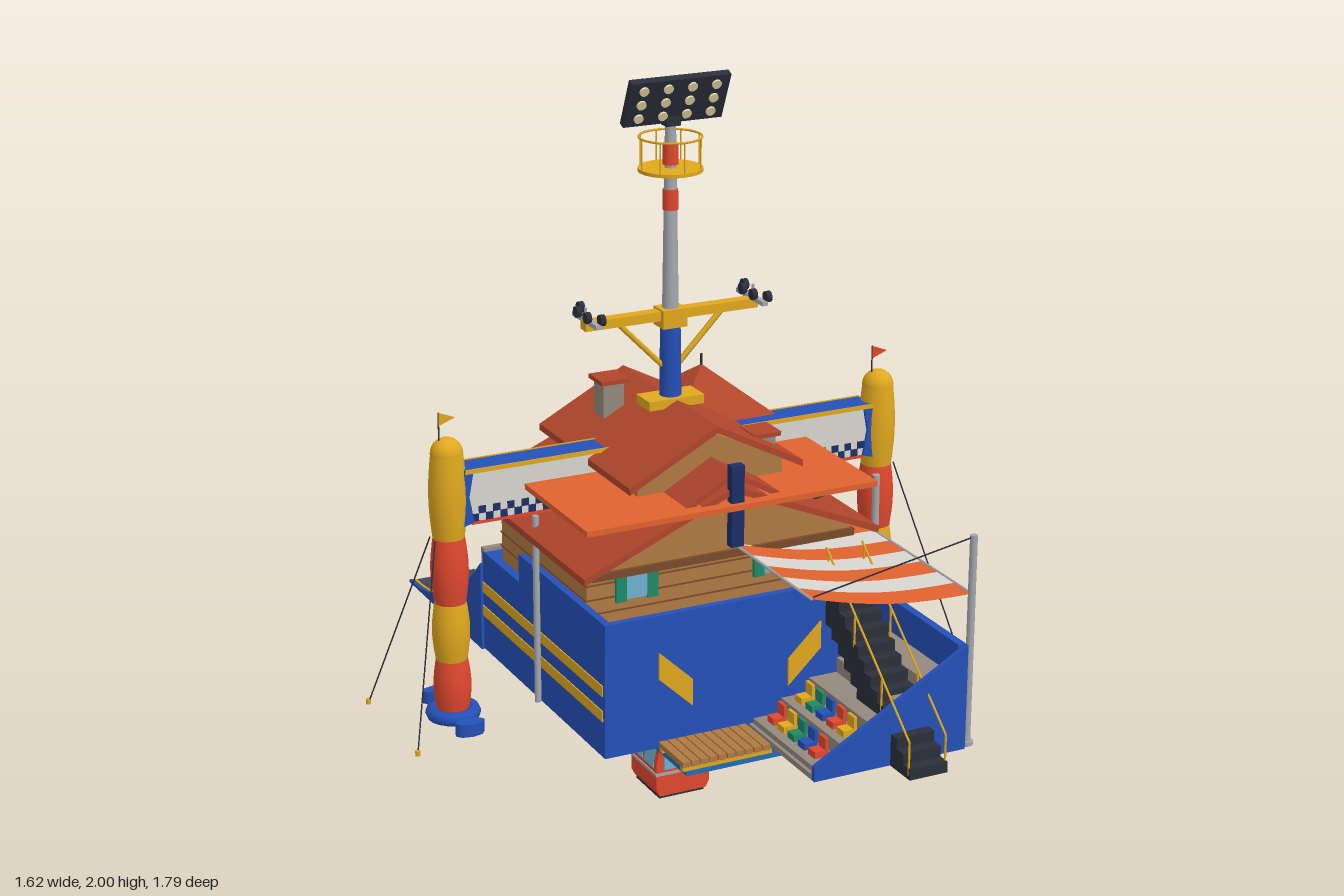
import * as THREE from 'three';

const C = { blue: 0x2450b8, sky: 0x1f6cb8, yellow: 0xe0a81e, red: 0xe0482e, roof: 0xb0462c, orange: 0xe0622e, white: 0xd8d6d0,
  tan: 0xb07a42, wood: 0x7a4a2a, taupe: 0x93897d, dark: 0x2b2f3a, ramp: 0x41465a, grey: 0xa4a8ae, green: 0x1f8a68, glass: 0x6fb0d0, navy: 0x1c2f66, cream: 0xe8d9a8 };
const mats = {};
const mat = (c, double) => mats[c + (double ? 'd' : '')] ??= new THREE.MeshStandardMaterial({ color: C[c], side: double ? THREE.DoubleSide : THREE.FrontSide });
const V = (a) => new THREE.Vector3(...a);

function add(parent, name, geo, c, pos = [0, 0, 0], double = false) {
  const m = new THREE.Mesh(geo, mat(c, double));
  m.name = name;
  m.position.set(...pos);
  parent.add(m);
  return m;
}
// Box from its extents
const box = (p, name, c, x0, x1, y0, y1, z0, z1) =>
  add(p, name, new THREE.BoxGeometry(x1 - x0, y1 - y0, z1 - z0), c, [(x0 + x1) / 2, (y0 + y1) / 2, (z0 + z1) / 2]);
const cyl = (p, name, c, r0, r1, h, pos, n = 16) => add(p, name, new THREE.CylinderGeometry(r1, r0, h, n), c, pos);
// Round bar between two points
function rod(p, name, c, a, b, r = 0.003, n = 6) {
  const A = V(a), B = V(b), d = B.clone().sub(A);
  const m = cyl(p, name, c, r, r, d.length(), A.clone().add(B).multiplyScalar(0.5).toArray(), n);
  m.quaternion.setFromUnitVectors(V([0, 1, 0]), d.normalize());
  return m;
}
const extrude = (pts, depth) => new THREE.ExtrudeGeometry(new THREE.Shape(pts.map((q) => new THREE.Vector2(...q))), { depth, bevelEnabled: false });
// Outline in (x, y) pushed along z; outline in (z, y) pushed along x
const prismZ = (p, name, c, pts, z0, z1) => add(p, name, extrude(pts, z1 - z0), c, [0, 0, z0]);
const prismX = (p, name, c, pts, x0, x1) => add(p, name, extrude(pts.map(([z, y]) => [-z, y]), x1 - x0).rotateY(Math.PI / 2), c, [x0, 0, 0]);
const gable = (p, name, w, eave, ridge, z0, z1, t = 0.018) =>
  prismZ(p, name, 'roof', [[-w, eave], [0, ridge], [w, eave], [w, eave - t], [0, ridge - t], [-w, eave - t]], z0, z1);
function part(root, name) {
  const g = new THREE.Group();
  g.name = name;
  root.add(g);
  return g;
}

function pillar(root, s) {
  const g = part(root, s > 0 ? 'leftPillar' : 'rightPillar');
  g.position.set(s * 0.635, 0, 0.03);
  [[0.35, 0.5, 'red'], [0.5, 0.66, 'yellow'], [0.66, 0.84, 'red'], [0.84, 1.07, 'yellow']].forEach(([a, b, c]) => {
    const pts = [];
    for (let i = 0; i <= 8; i++) pts.push(new THREE.Vector2(0.042 + 0.008 * Math.sin((Math.PI * i) / 8), a + ((b - a) * i) / 8));
    add(g, 'pillarBand', new THREE.LatheGeometry(pts, 20), c);
  });
  add(g, 'pillarDome', new THREE.SphereGeometry(0.043, 20, 8, 0, 6.2832, 0, Math.PI / 2), 'yellow', [0, 1.068, 0]);
  add(g, 'footRing', new THREE.TorusGeometry(0.055, 0.019, 8, 20).rotateX(Math.PI / 2), 'blue', [0, 0.347, 0]);
  for (const z of [-0.115, 0.115]) {
    const f = cyl(g, 'footPad', 'blue', 0.03, 0.03, 0.035, [0, 0.347, z], 8);
    f.scale.set(1.35, 1, 0.75);
    const zz = z > 0 ? 0.175 : -0.18;
    rod(g, 'guyWire', 'dark', [s * 0.045, 0.84, zz * 0.1], [s * 0.17, 0.33, zz], 0.002);
    cyl(g, 'anchor', 'yellow', 0.007, 0.007, 0.014, [s * 0.17, 0.335, zz], 8);
  }
  rod(g, 'flagPole', 'dark', [-0.02, 1.1, 0], [-0.02, 1.18, 0], 0.002);
  prismZ(g, 'flag', s > 0 ? 'red' : 'yellow', [[-0.02, 1.18], [0.025, 1.162], [-0.02, 1.145]], -0.002, 0.002);
}

function beam(root) {
  const g = part(root, 'bannerBeam');
  box(g, 'banner', 'white', -0.6, 0.6, 0.88, 1.015, 0, 0.055);
  box(g, 'topCap', 'blue', -0.6, 0.6, 1.015, 1.025, -0.012, 0.067);
  box(g, 'bottomTrim', 'red', -0.58, 0.58, 0.872, 0.88, -0.003, 0.058);
  for (const z of [-0.014, 0.067]) box(g, 'topTrim', 'yellow', -0.6, 0.6, 1.016, 1.028, z, z + 0.003);
  for (let i = 0; i < 60; i++) for (let j = 0; j < 2; j++)
    if ((i + j) % 2) box(g, 'check', 'navy', -0.6 + i * 0.02, -0.58 + i * 0.02, 0.88 + j * 0.02, 0.9 + j * 0.02, -0.002, 0.057);
  for (const s of [-1, 1]) prismZ(g, 'bracket', 'blue', [[0.61, 0.87], [0.575, 0.88], [0.588, 0.95], [0.575, 1.02], [0.61, 1.02]].map(([x, y]) => [s * x, y]), -0.008, 0.063);
}

function tower(root) {
  const g = part(root, 'tower');
  g.position.z = 0.035;
  cyl(g, 'lowerMast', 'blue', 0.032, 0.027, 0.45, [0, 1.11, 0]);
  box(g, 'mastCollar', 'yellow', -0.08, 0.08, 1.11, 1.135, -0.04, 0.04);
  box(g, 'mastHead', 'yellow', -0.035, 0.035, 1.325, 1.375, -0.03, 0.03);
  box(g, 'crossArm', 'yellow', -0.25, 0.25, 1.345, 1.37, -0.017, 0.017);
  for (const s of [-1, 1]) {
    rod(g, 'armBrace', 'yellow', [s * 0.15, 1.348, 0], [s * 0.025, 1.22, 0], 0.008);
    box(g, 'sheaveBar', 'grey', s * 0.24 - 0.008, s * 0.24 + 0.008, 1.365, 1.377, -0.075, 0.075);
    for (const z of [-0.065, -0.03, 0.03, 0.065])
      add(g, 'sheave', new THREE.CylinderGeometry(0.015, 0.015, 0.014, 14).rotateZ(Math.PI / 2), 'dark', [s * 0.24 + (Math.abs(z) > 0.05 ? 0.012 : -0.012), 1.387, z]);
    rod(g, 'armTip', 'grey', [s * 0.243, 1.34, 0], [s * 0.243, 1.405, 0], 0.004);
  }
  cyl(g, 'upperMast', 'grey', 0.022, 0.014, 0.52, [0, 1.62, 0]);
  for (const y of [1.665, 1.785]) cyl(g, 'mastBand', 'red', 0.0205, 0.02, 0.055, [0, y, 0]);
  cyl(g, 'platform', 'yellow', 0.085, 0.085, 0.009, [0, 1.745, 0], 24);
  add(g, 'railing', new THREE.TorusGeometry(0.082, 0.003, 6, 24).rotateX(Math.PI / 2), 'yellow', [0, 1.83, 0]);
  for (let i = 0; i < 8; i++) {
    const a = (i * Math.PI) / 4, x = 0.082 * Math.cos(a), z = 0.082 * Math.sin(a);
    rod(g, 'railPost', 'yellow', [x, 1.745, z], [x, 1.83, z], 0.002);
  }
  const p = part(g, 'floodlight');
  p.position.set(0, 1.934, 0.03);
  p.rotation.x = 0.42;
  box(p, 'lightPanel', 'dark', -0.14, 0.14, -0.067, 0.067, -0.01, 0.01);
  for (let i = 0; i < 4; i++) for (let j = 0; j < 3; j++)
    add(p, 'lamp', new THREE.CylinderGeometry(0.013, 0.013, 0.008, 12).rotateX(Math.PI / 2), 'cream', [-0.102 + i * 0.068, -0.042 + j * 0.042, 0.012]);
  box(g, 'lightBracket', 'dark', -0.02, 0.02, 1.86, 1.93, -0.015, 0.02);
}

function chalet(root) {
  const g = part(root, 'chalet');
  // Blue base with terrace
  box(g, 'base', 'blue', -0.385, 0.385, 0.33, 0.62, -0.35, 0.44);
  box(g, 'parapetFront', 'blue', -0.385, 0.25, 0.62, 0.7, 0.425, 0.445);
  box(g, 'parapetCorner', 'blue', 0.365, 0.385, 0.62, 0.7, 0.03, 0.445);
  box(g, 'parapetSide', 'blue', -0.385, -0.365, 0.62, 0.7, -0.1, 0.445);
  box(g, 'backBand', 'taupe', -0.385, 0.36, 0.54, 0.63, -0.36, -0.34);
  for (const y of [0.43, 0.5]) box(g, 'sideStripe', 'yellow', -0.388, -0.384, y, y + 0.03, -0.35, 0.43);
  for (const s of [-1, 1]) prismZ(g, 'frontPanel', 'yellow', [[0.235, 0.6], [0.14, 0.51], [0.14, 0.435], [0.235, 0.525]].map(([x, y]) => [s * x, y]), 0.444, 0.45);
  // Wooden walls
  box(g, 'lowerWall', 'tan', -0.36, 0.36, 0.62, 0.8, -0.27, 0.28);
  prismZ(g, 'gableWall', 'tan', [[-0.37, 0.79], [0.37, 0.79], [0.37, 0.815], [0, 0.97], [-0.37, 0.815]], -0.3, 0.35);
  for (const z of [-0.305, 0.345]) box(g, 'tieBeam', 'wood', -0.38, 0.38, 0.785, 0.805, z, z + 0.015);
  for (const y of [0.66, 0.7, 0.74]) box(g, 'logLine', 'wood', -0.363, 0.363, y, y + 0.004, -0.273, 0.283);
  for (const x of [-0.22, 0.18]) for (const z of [-0.28, 0.278]) {
    box(g, 'window', 'glass', x - 0.03, x + 0.03, 0.69, 0.765, z, z + 0.01);
    for (const s of [-1, 1]) box(g, 'shutter', 'green', x + s * 0.045 - 0.015, x + s * 0.045 + 0.015, 0.685, 0.77, z - 0.003, z + 0.013);
  }
  box(g, 'sideDoor', 'green', 0.355, 0.368, 0.63, 0.74, -0.06, 0.02);
  // Roofs
  gable(g, 'mainRoof', 0.425, 0.82, 1.0, -0.345, 0.41);
  box(g, 'flatRoof', 'orange', -0.43, 0.4, 0.945, 0.96, 0.0, 0.44);
  prismZ(g, 'upperWall', 'tan', [[-0.21, 0.95], [0.21, 0.95], [0.21, 1.01], [0, 1.1], [-0.21, 1.01]], -0.22, 0.27);
  gable(g, 'upperRoof', 0.25, 1.0, 1.13, -0.255, 0.31);
  gable(g, 'porchRoof', 0.135, 0.96, 1.035, 0.25, 0.4, 0.015);
  box(g, 'frontPost', 'navy', -0.018, 0.018, 0.84, 1.06, 0.4, 0.425);
  // Turret with arched windows and pyramid roof
  box(g, 'turretWall', 'tan', 0.05, 0.3, 0.86, 1.03, -0.26, 0);
  const arch = new THREE.Shape().moveTo(-0.024, 0).lineTo(0.024, 0).lineTo(0.024, 0.055).absarc(0, 0.055, 0.024, 0, Math.PI, false);
  const archGeo = new THREE.ExtrudeGeometry(arch, { depth: 0.008, bevelEnabled: false });
  for (let i = 0; i < 3; i++) {
    add(g, 'archWindow', archGeo, 'navy', [0.297, 0.915, -0.21 + i * 0.08]).rotation.y = Math.PI / 2;
    add(g, 'archWindow', archGeo, 'navy', [0.095 + i * 0.08, 0.915, -0.257]).rotation.y = Math.PI;
  }
  add(g, 'turretRoof', new THREE.ConeGeometry(0.219, 0.125, 4, 1).rotateY(Math.PI / 4).toNonIndexed(), 'roof', [0.175, 1.083, -0.13]).geometry.computeVertexNormals();
  rod(g, 'finial', 'dark', [0.175, 1.13, -0.13], [0.175, 1.175, -0.13], 0.003);
  // Chimneys
  for (const [x, y, z] of [[-0.115, 1.15, -0.1], [0.195, 1.04, 0.175]]) {
    box(g, 'chimney', 'taupe', x - 0.03, x + 0.03, y - 0.14, y, z - 0.03, z + 0.03);
    box(g, 'chimneyCap', 'roof', x - 0.04, x + 0.04, y, y + 0.012, z - 0.042, z + 0.042);
  }
  rod(g, 'sidePost', 'grey', [-0.395, 0.33, 0.04], [-0.395, 0.86, 0.04], 0.009, 10);
  // Front deck
  for (let i = 0; i < 10; i++) box(g, 'deckPlank', 'tan', -0.235 + i * 0.0255, -0.213 + i * 0.0255, 0.335, 0.35, 0.445, 0.585);
  for (const z of [0.45, 0.57]) box(g, 'deckBeam', 'yellow', -0.235, 0.02, 0.325, 0.336, z, z + 0.015);
}

function stand(root) {
  const g = part(root, 'grandstand');
  box(g, 'floor', 'taupe', 0.03, 0.47, 0.33, 0.345, -0.73, 0.78);
  box(g, 'outerWallLower', 'taupe', 0.452, 0.47, 0.33, 0.45, -0.73, 0.78);
  box(g, 'outerWallUpper', 'blue', 0.45, 0.472, 0.45, 0.62, -0.73, 0.78);
  for (const z of [-0.742, 0.778]) prismZ(g, 'endWall', 'blue', [[0.03, 0.33], [0.472, 0.33], [0.472, 0.62], [0.03, 0.37]], z, z + 0.014);
  // Stepped rows of coloured seats
  const colors = ['red', 'yellow', 'green', 'blue'];
  for (const [z0, z1] of [[-0.728, -0.35], [0.445, 0.778]]) for (let r = 0; r < 5; r++) {
    const x = 0.04 + r * 0.082, y = 0.36 + r * 0.042;
    box(g, 'row', 'taupe', x, x + 0.082, 0.34, y, z0, z1);
    for (let z = z0 + 0.03, i = r; z < z1 - 0.03; z += 0.055, i++) {
      if (z0 > 0 && x > 0.18 && x < 0.37) continue;
      box(g, 'seat', colors[i % 4], x + 0.025, x + 0.06, y, y + 0.018, z, z + 0.035);
      box(g, 'seatBack', colors[i % 4], x + 0.055, x + 0.064, y, y + 0.05, z, z + 0.035);
    }
  }
  // Front stairs and handrails
  for (let i = 0; i < 13; i++) box(g, 'stairStep', 'dark', 0.25, 0.36, 0.33 + Math.max(0, i - 3) * 0.0285, 0.36 + i * 0.0285, 0.855 - i * 0.0342, 0.89 - i * 0.0342);
  for (const x of [0.252, 0.358]) {
    rod(g, 'handrail', 'yellow', [x, 0.43, 0.88], [x, 0.8, 0.44], 0.003);
    for (let i = 0; i < 4; i++) rod(g, 'railPost', 'yellow', [x, 0.34 + i * 0.12, 0.88 - i * 0.143], [x, 0.43 + i * 0.12, 0.88 - i * 0.143]);
  }
  // Striped sagging canopy
  const h = (u) => 0.82 - 0.07 * u - 0.02 * Math.sin(Math.PI * u);
  const w = 1.48 / 18;
  for (let i = 0; i < 18; i++) {
    const geo = new THREE.PlaneGeometry(0.465, w, 8, 1).rotateX(-Math.PI / 2), p = geo.attributes.position;
    for (let k = 0; k < p.count; k++) p.setY(k, h(p.getX(k) / 0.465 + 0.5));
    geo.computeVertexNormals();
    add(g, 'canopyStripe', geo, i % 2 ? 'orange' : 'white', [0.2575, 0, -0.71 + (i + 0.5) * w], true);
  }
  rod(g, 'canopyEdge', 'grey', [0.49, 0.75, -0.71], [0.49, 0.75, 0.77], 0.004);
  rod(g, 'canopyEdge', 'grey', [0.025, 0.82, -0.71], [0.025, 0.82, 0.77], 0.004);
  for (const z of [-0.71, -0.215, 0.28, 0.77]) {
    rod(g, 'canopyPole', 'grey', [0.49, 0.33, z], [0.49, 0.91, z], 0.01, 12);
    cyl(g, 'poleFoot', 'grey', 0.017, 0.017, 0.012, [0.49, 0.336, z], 12);
    rod(g, 'canopyCable', 'dark', [0.49, 0.905, z], [0.03, 0.825, z], 0.002);
  }
}

function slope(root) {
  const g = part(root, 'slope');
  const y = (z) => 0.332 + 0.25 * Math.pow(Math.max(0, (z + 0.9) / 0.55), 2.2);
  // Strip following the curved slope, lifted by a small amount
  const strip = (name, c, x0, x1, z0, z1, lift, bottom) => {
    const pts = [];
    for (let i = 0; i <= 12; i++) { const z = z0 + ((z1 - z0) * i) / 12; pts.push([z, y(z) + lift]); }
    prismX(g, name, c, [...pts, [z1, bottom ?? y(z1)], [z0, bottom ?? y(z0)]], x0, x1);
  };
  strip('slopeSurface', 'ramp', -0.385, 0.03, -0.743, -0.35, 0, 0.328);
  strip('slopeApron', 'ramp', -0.385, 0.385, -0.9, -0.743, 0, 0.328);
  strip('slopeSide', 'blue', -0.393, -0.385, -0.9, -0.35, 0.004, 0.328);
  strip('apronSide', 'blue', 0.385, 0.39, -0.9, -0.743, 0.002, 0.328);
  for (let i = 0; i < 8; i++) {
    const x = -0.375 + i * 0.0945;
    strip('laneLine', i ? 'white' : 'yellow', x - 0.003, x + 0.003, -0.9, x < 0.03 ? -0.35 : -0.743, 0.003, 0.329);
  }
}

function cabin(root) {
  box(root, 'underSlab', 'sky', -0.215, 0.21, 0.3, 0.329, -0.51, 0.565);
  rod(root, 'underRod', 'dark', [0.245, 0.24, 0.1], [0.245, 0.34, 0.1], 0.003);
  const g = part(root, 'cableCabin');
  g.position.z = 0.035;
  box(g, 'cabinBottom', 'dark', -0.068, 0.068, 0, 0.014, -0.072, 0.072);
  prismZ(g, 'cabinBody', 'red', [[-0.07, 0.01], [0.07, 0.01], [0.08, 0.03], [0.08, 0.11], [0.066, 0.175], [-0.066, 0.175], [-0.08, 0.11], [-0.08, 0.03]], -0.08, 0.08);
  box(g, 'cabinRoof', 'red', -0.055, 0.055, 0.172, 0.183, -0.065, 0.065);
  box(g, 'cabinTrim', 'grey', -0.083, 0.083, 0.072, 0.08, -0.083, 0.083);
  for (const s of [-1, 1]) {
    for (const t of [-1, 1]) {
      box(g, 'cabinWindow', 'glass', t * 0.031 - 0.027, t * 0.031 + 0.027, 0.088, 0.155, s * 0.08 - 0.003, s * 0.08 + 0.003);
      const q = box(g, 'sideWindow', 'glass', -0.004, 0.004, -0.032, 0.032, t * 0.034 - 0.029, t * 0.034 + 0.029);
      q.position.set(s * 0.0735, 0.124, t * 0.034);
      q.rotation.z = s * 0.212;
    }
  }
  for (const z of [-0.04, 0.04]) box(g, 'lamp', 'yellow', 0.078, 0.087, 0.035, 0.055, z - 0.013, z + 0.013);
  const path = new THREE.CatmullRomCurve3([[0.0, 0.18, 0], [0.03, 0.205, 0], [0.045, 0.24, 0], [0.035, 0.275, 0], [0.035, 0.31, 0]].map(V));
  add(g, 'hanger', new THREE.TubeGeometry(path, 16, 0.006, 8), 'yellow');
  box(g, 'cableGrip', 'dark', 0.02, 0.05, 0.28, 0.302, -0.035, 0.035);
}

export function createModel() {
  const root = new THREE.Group();
  root.name = 'mountainStation';
  for (const s of [-1, 1]) pillar(root, s);
  for (const build of [beam, tower, chalet, stand, slope, cabin]) build(root);
  return root;
}
